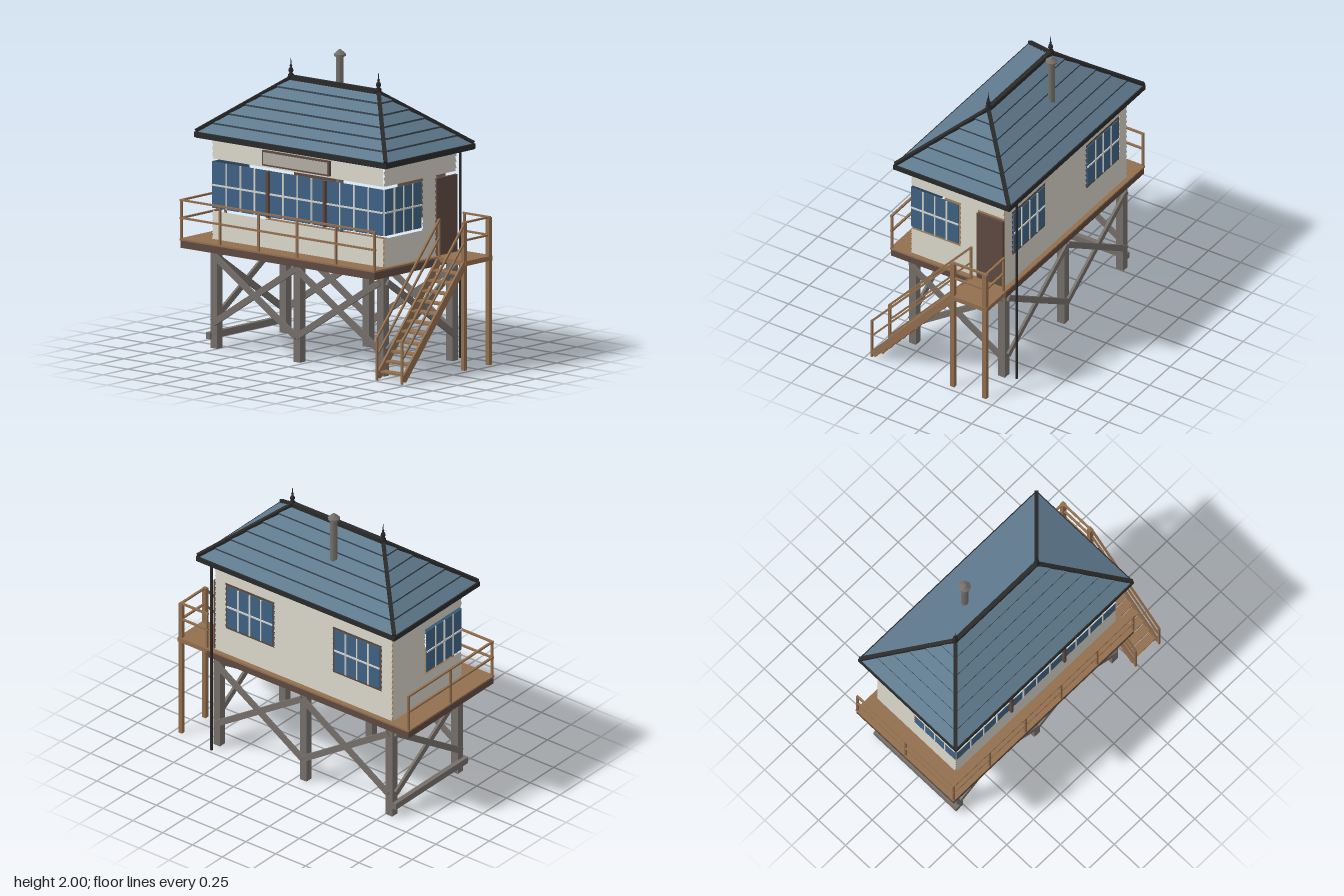
import * as THREE from 'three';

const mat = (name, color) => {
  const m = new THREE.MeshStandardMaterial({ color });
  m.name = name;
  return m;
};

export function createModel() {
  const M = {
    siding: mat('pale siding', 0xcbc8bc),
    bar: mat('white glazing bar', 0xd6d6d0),
    glass: mat('blue glass', 0x3f6285),
    roof: mat('slate blue', 0x5f7a8e),
    lap: mat('dark slate', 0x3a4853),
    wood: mat('warm timber', 0x93704f),
    brown: mat('dark brown', 0x5f4b42),
    post: mat('grey timber', 0x76706a),
    iron: mat('black iron', 0x2b2a2a),
    sign: mat('sign board', 0xb5b0a5),
  };
  const root = new THREE.Group();
  root.name = 'raisedCabin';

  const add = (name, geo, m, parent = root) => {
    const mesh = new THREE.Mesh(geo, m);
    mesh.name = name;
    parent.add(mesh);
    return mesh;
  };
  // box given by its limits on each axis
  const box = (name, m, x0, x1, y0, y1, z0, z1, parent = root) => {
    const b = add(name, new THREE.BoxGeometry(x1 - x0, y1 - y0, z1 - z0), m, parent);
    b.position.set((x0 + x1) / 2, (y0 + y1) / 2, (z0 + z1) / 2);
    return b;
  };
  // straight bar between two points
  const beam = (name, m, a, b, w, h) => {
    const p = new THREE.Vector3(...a), q = new THREE.Vector3(...b);
    const mesh = add(name, new THREE.BoxGeometry(w, h, p.distanceTo(q)), m);
    mesh.position.copy(p).add(q).multiplyScalar(0.5);
    mesh.lookAt(q);
    return mesh;
  };
  const upright = (name, m, x, z, y0, y1, w) =>
    box(name, m, x - w / 2, x + w / 2, y0, y1, z - w / 2, z + w / 2);
  const faces = (pos) => {
    const g = new THREE.BufferGeometry();
    g.setAttribute('position', new THREE.Float32BufferAttribute(pos, 3));
    g.computeVertexNormals();
    return g;
  };
  const quad = (out, a, b, c, d) => out.push(...a, ...b, ...c, ...a, ...c, ...d);

  // ---- Legs and cross bracing ----
  const legX = [-0.78, -0.06, 0.665], legZ = [0.32, -0.375];
  for (const z of legZ) {
    for (const x of legX) upright('leg', M.post, x, z, 0, 0.67, 0.055);
    const zf = z + Math.sign(z) * 0.035;
    for (let i = 0; i < 2; i++) {
      beam('longBrace', M.post, [legX[i], 0.63, zf], [legX[i + 1], 0.17, zf], 0.018, 0.042);
      beam('longBrace', M.post, [legX[i], 0.17, zf], [legX[i + 1], 0.63, zf], 0.018, 0.042);
    }
  }
  for (const x of [-0.816, 0.701]) {
    beam('sideBrace', M.post, [x, 0.63, 0.32], [x, 0.17, -0.375], 0.018, 0.042);
    beam('sideBrace', M.post, [x, 0.17, 0.32], [x, 0.63, -0.375], 0.018, 0.042);
  }
  box('groundTie', M.post, -0.835, -0.8, 0.06, 0.105, -0.4, 0.365);

  // ---- Deck and landing ----
  box('deckFrame', M.brown, -0.965, 0.72, 0.67, 0.72, -0.43, 0.47);
  box('deckBoards', M.wood, -0.97, 0.725, 0.72, 0.732, -0.435, 0.475);
  box('landing', M.wood, 0.725, 0.967, 0.7, 0.732, -0.435, -0.16);

  // ---- Deck railings ----
  for (let i = 0; i < 6; i++) upright('railPost', M.wood, -0.96 + 0.335 * i, 0.465, 0.73, 0.99, 0.014);
  for (const z of [0.02, -0.425]) upright('railPost', M.wood, -0.96, z, 0.73, 0.99, 0.014);
  for (const y of [0.99, 0.87]) {
    box('frontRail', M.wood, -0.968, 0.725, y - 0.006, y + 0.006, 0.458, 0.473);
    box('leftRail', M.wood, -0.968, -0.953, y - 0.006, y + 0.006, -0.432, 0.473);
    box('landingSideRail', M.wood, 0.943, 0.958, y - 0.006, y + 0.006, -0.425, -0.16);
    box('landingBackRail', M.wood, 0.725, 0.96, y - 0.006, y + 0.006, -0.425, -0.41);
  }

  // ---- Staircase ----
  for (const z of [-0.165, -0.415]) upright('landingPost', M.wood, 0.95, z, 0, 0.99, 0.03);
  upright('landingRailPost', M.wood, 0.735, -0.165, 0.73, 0.99, 0.014);
  upright('landingRailPost', M.wood, 0.735, -0.418, 0.73, 0.99, 0.014);
  for (const x of [0.738, 0.957]) {
    beam('stringer', M.wood, [x, 0.025, 0.455], [x, 0.71, -0.16], 0.016, 0.05);
    upright('stairFootPost', M.wood, x, 0.467, 0, 0.29, 0.015);
    beam('stairHandrail', M.wood, [x, 0.285, 0.467], [x, 0.985, -0.165], 0.014, 0.014);
    beam('stairMidRail', M.wood, [x, 0.165, 0.467], [x, 0.865, -0.165], 0.012, 0.012);
  }
  for (let i = 1; i < 12; i++) {
    const y = 0.06 * i, z = 0.465 - 0.88 * y;
    box('tread', M.wood, 0.742, 0.953, y - 0.012, y, z - 0.03, z + 0.03);
  }

  // ---- Cabin walls: lapped boards laid out in each wall's own plane ----
  const BASE = 0.73, PITCH = 0.04;
  const siding = (wall, u0, u1, y0, y1) => {
    const out = [];
    const lap = (y) => 0.012 * (1 - (y - BASE) / PITCH + Math.floor((y - BASE) / PITCH + 1e-6));
    for (let y = y0; y < y1 - 1e-4;) {
      const edge = BASE + PITCH * (Math.floor((y - BASE) / PITCH + 1e-6) + 1);
      const t = Math.min(edge, y1), d0 = lap(y), d1 = 0.012 * (edge - t) / PITCH;
      quad(out, [u0, y, d0], [u1, y, d0], [u1, t, d1], [u0, t, d1]);
      quad(out, [u0, y, 0], [u1, y, 0], [u1, y, d0], [u0, y, d0]);
      y = t;
    }
    add('siding', faces(out), M.siding, wall);
  };
  const pane = (wall, u0, u1, cols = 4) => {
    box('glass', M.glass, u0, u1, 0.94, 1.25, 0.004, 0.01, wall);
    for (let i = 1; i < cols; i++) {
      const u = u0 + (u1 - u0) * i / cols;
      box('glazingBar', M.bar, u - 0.005, u + 0.005, 0.94, 1.25, 0.008, 0.016, wall);
    }
    box('glazingBar', M.bar, u0, u1, 1.089, 1.101, 0.008, 0.016, wall);
  };
  const makeWall = (name, x, z, turn, panels) => {
    const g = new THREE.Group();
    g.name = name;
    g.position.set(x, 0, z);
    g.rotation.y = turn;
    root.add(g);
    for (const p of panels) siding(g, ...p);
    return g;
  };

  const front = makeWall('frontWall', -0.06, 0.33, 0,
    [[-0.74, 0.74, 0.73, 0.92], [-0.74, 0.74, 1.27, 1.41]]);
  for (let i = 0; i < 3; i++) pane(front, -0.74 + i * 1.48 / 3, -0.74 + (i + 1) * 1.48 / 3);
  for (const u of [-0.247, 0.247]) box('mullion', M.brown, u - 0.01, u + 0.01, 0.94, 1.25, 0, 0.035, front);
  box('signFrame', M.brown, -0.29, 0.29, 1.285, 1.388, 0.012, 0.032, front);
  box('signPanel', M.sign, -0.278, 0.278, 1.297, 1.376, 0.03, 0.036, front);

  const right = makeWall('rightWall', 0.68, -0.03, Math.PI / 2, [[-0.36, 0.36, 1.27, 1.41],
    [-0.36, 0.025, 0.73, 0.92], [0.025, 0.16, 0.73, 1.27]]);
  pane(right, -0.36, 0.01);
  box('door', M.brown, 0.155, 0.36, 0.73, 1.25, 0, 0.02, right);

  const left = makeWall('leftWall', -0.8, -0.03, -Math.PI / 2, [[-0.36, 0.36, 1.27, 1.41],
    [-0.025, 0.36, 0.73, 0.92], [-0.36, -0.025, 0.73, 1.27]]);
  pane(left, -0.01, 0.36);

  const back = makeWall('backWall', -0.06, -0.39, Math.PI, [[-0.74, 0.74, 0.73, 0.92],
    [-0.74, 0.74, 1.27, 1.41], [-0.74, -0.655, 0.92, 1.27], [-0.245, 0.245, 0.92, 1.27], [0.655, 0.74, 0.92, 1.27]]);
  for (const u of [-0.64, 0.26]) {
    box('windowSurround', M.brown, u - 0.015, u + 0.395, 0.92, 1.27, -0.004, 0.003, back);
    pane(back, u, u + 0.38);
  }

  // ---- Hipped roof in stepped courses ----
  const N = 6, roofY = (t) => 1.44 + 0.36 * t;
  const rect = (t, y) => {
    const x0 = -0.885 + 0.445 * t, x1 = 0.765 - 0.445 * t, z0 = -0.48 + 0.445 * t, z1 = 0.41 - 0.445 * t;
    return [[x0, y, z1], [x1, y, z1], [x1, y, z0], [x0, y, z0]];
  };
  const ring = (name, m, lo, hi) => {
    const out = [];
    for (let i = 0; i < 4; i++) quad(out, lo[i], lo[(i + 1) % 4], hi[(i + 1) % 4], hi[i]);
    add(name, faces(out), m);
  };
  for (let i = 0; i < N; i++) {
    const a = i / N, b = (i + 1) / N;
    ring('roofLap', M.lap, rect(a, roofY(a)), rect(a, roofY(a) + 0.012));
    ring('roofCourse', M.roof, rect(a, roofY(a) + 0.012), rect(b, roofY(b)));
  }
  box('eaves', M.iron, -0.885, 0.765, 1.41, 1.44, -0.48, 0.41);
  for (const z of [-0.48, 0.41]) box('gutter', M.iron, -0.893, 0.773, 1.415, 1.45, z - 0.008, z + 0.008);
  for (const x of [-0.885, 0.765]) box('gutter', M.iron, x - 0.008, x + 0.008, 1.415, 1.45, -0.488, 0.418);
  rect(0, 1.455).forEach((c, i) =>
    beam('hipCap', M.iron, c, rect(1, 1.805)[i], 0.026, 0.022));
  box('ridgeCap', M.iron, -0.45, 0.33, 1.79, 1.822, -0.05, -0.02);

  // ---- Finials ----
  const spike = [[0, 0], [0.022, 0], [0.02, 0.025], [0.01, 0.035], [0.017, 0.05], [0.014, 0.065],
    [0.006, 0.075], [0.009, 0.085], [0.004, 0.095], [0, 0.15]].map((p) => new THREE.Vector2(...p));
  for (const x of [-0.44, 0.32]) add('finial', new THREE.LatheGeometry(spike, 8), M.iron).position.set(x, 1.8, -0.035);

  // ---- Stove pipe and downpipe ----
  add('chimney', new THREE.CylinderGeometry(0.025, 0.025, 1.23, 8), M.post).position.set(-0.17, 1.345, -0.215);
  add('chimneyCollar', new THREE.CylinderGeometry(0.04, 0.04, 0.014, 8), M.post).position.set(-0.17, 1.963, -0.215);
  add('chimneyCap', new THREE.CylinderGeometry(0.008, 0.042, 0.03, 8), M.post).position.set(-0.17, 1.985, -0.215);
  add('downpipe', new THREE.CylinderGeometry(0.009, 0.009, 1.41, 8), M.iron).position.set(0.655, 0.705, -0.47);

  return root;
}
